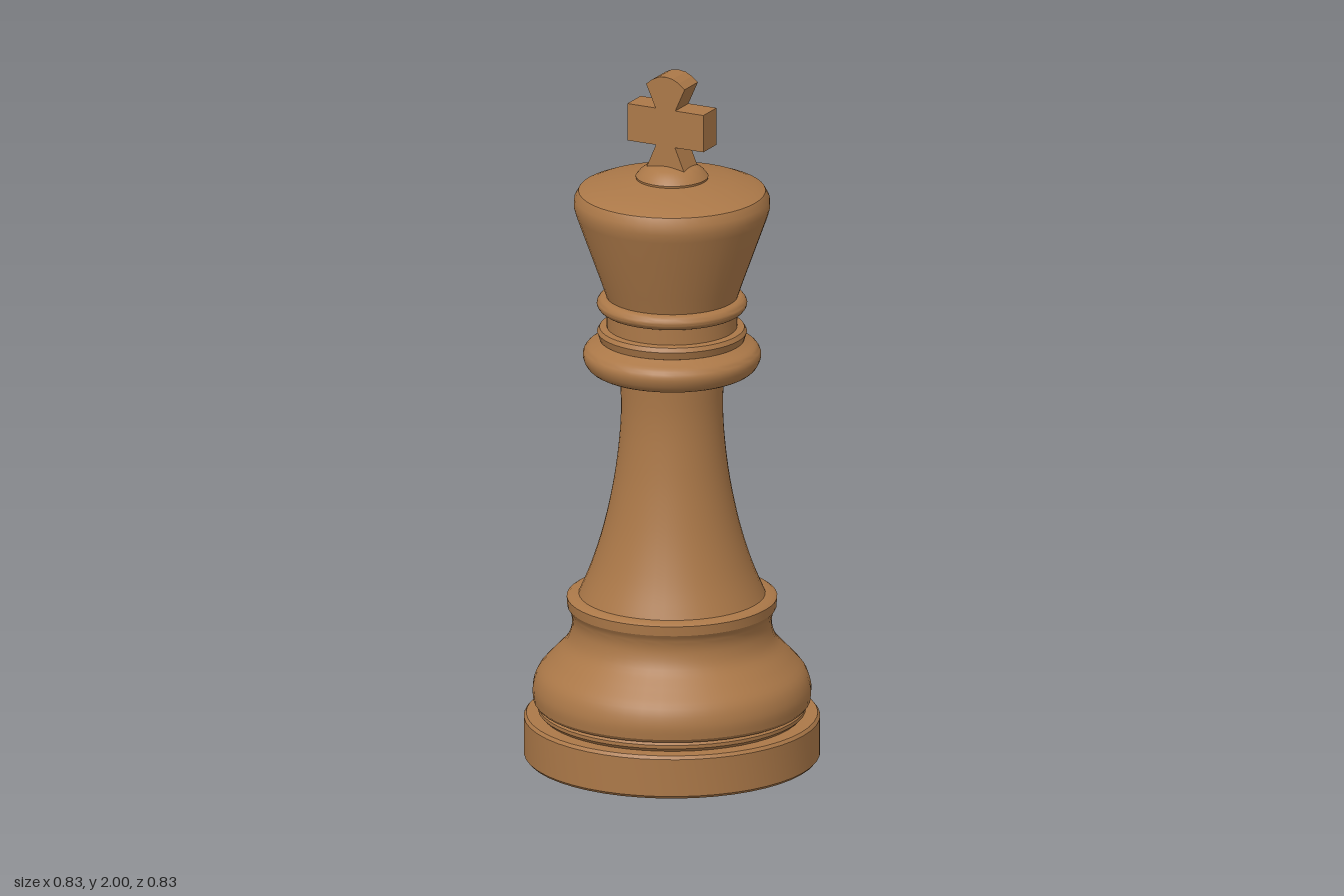
import * as THREE from 'three';
import { toCreasedNormals } from 'three/addons/utils/BufferGeometryUtils.js';

export function createModel() {
  const group = new THREE.Group();
  const wood = new THREE.MeshStandardMaterial({ color: 0xab7848 });
  wood.name = 'warm brown wood';

  const add = (name, geometry) => {
    const mesh = new THREE.Mesh(geometry, wood);
    mesh.name = name;
    group.add(mesh);
  };

  // Turned part: profile of [radius, height] from bottom to top, optionally smoothed
  const turn = (name, profile, smooth = 0) => {
    let points = profile.map(([r, y]) => new THREE.Vector2(r, y));
    if (smooth) points = new THREE.SplineCurve(points).getPoints(smooth);
    add(name, toCreasedNormals(new THREE.LatheGeometry(points, 48), 0.6));
  };

  // Foot
  turn('base', [[0, 0], [0.408, 0], [0.415, 0.008], [0.415, 0.116], [0.408, 0.125], [0.36, 0.125]]);
  turn('baseGroove', [[0.36, 0.12], [0.375, 0.135], [0.375, 0.145], [0.36, 0.16]]);
  turn('baseUnderside', [[0.35, 0.155], [0.38, 0.155], [0.388, 0.165]]);
  turn('baseBulge', [[0.388, 0.165], [0.39, 0.205], [0.375, 0.25], [0.335, 0.295],
    [0.295, 0.34], [0.28, 0.385], [0.283, 0.42], [0.293, 0.44]], 28);
  turn('baseRim', [[0.285, 0.437], [0.293, 0.44], [0.295, 0.468], [0.285, 0.475], [0.25, 0.477]]);

  // Flared stem
  turn('stem', [[0.262, 0.475], [0.225, 0.565], [0.19, 0.68], [0.163, 0.81],
    [0.148, 0.93], [0.143, 1.03], [0.147, 1.13]], 24);

  // Collar and neck rings
  turn('collar', [[0.14, 1.125], [0.2, 1.127], [0.235, 1.142], [0.25, 1.175],
    [0.24, 1.2], [0.215, 1.214], [0.2, 1.222]], 20);
  turn('collarRing', [[0.19, 1.218], [0.203, 1.223], [0.21, 1.245], [0.203, 1.257], [0.18, 1.26]]);
  turn('neck', [[0.183, 1.25], [0.183, 1.315]]);
  turn('neckRing', [[0.18, 1.305], [0.2, 1.31], [0.211, 1.328], [0.2, 1.346], [0.18, 1.35]], 14);

  // Flared head with a shallow domed top
  turn('head', [[0.183, 1.345], [0.2, 1.395], [0.268, 1.585], [0.275, 1.61], [0.274, 1.635],
    [0.262, 1.657], [0.235, 1.668], [0.17, 1.681], [0.1, 1.694], [0, 1.705]]);
  turn('finialKnob', [[0.1, 1.69], [0.102, 1.7], [0.09, 1.715], [0.07, 1.73], [0.04, 1.738], [0, 1.74]]);

  // Cross outline: flared foot, straight arms, flared rounded top
  const right = [[0.065, 1.715], [0.03, 1.797], [0.12, 1.797], [0.12, 1.905], [0.031, 1.905],
    [0.061, 1.972], [0.042, 1.987], [0.022, 1.997]];
  const left = right.map(([x, y]) => [-x, y]).reverse();
  const outline = [...right, [0, 2], ...left].map(([x, y]) => new THREE.Vector2(x, y));
  const cross = new THREE.ExtrudeGeometry(new THREE.Shape(outline), { depth: 0.08, bevelEnabled: false });
  cross.translate(0, 0, -0.04);
  add('cross', cross);

  return group;
}
